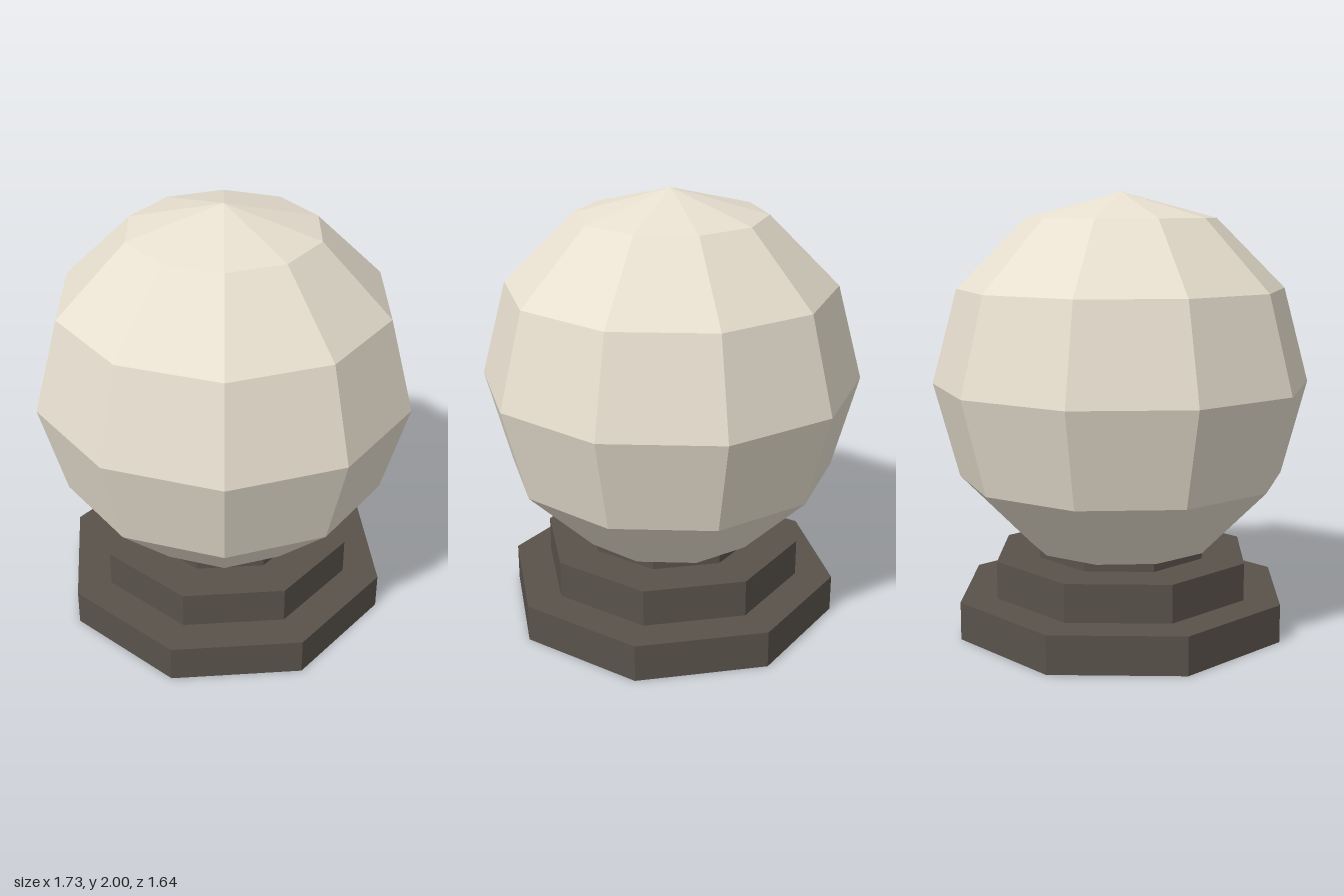
import * as THREE from 'three';

export function createModel() {
  const model = new THREE.Group();
  model.name = 'globeOnPedestal';

  const ivory = new THREE.MeshStandardMaterial({ color: 0xe8e0d0, flatShading: true });
  ivory.name = 'ivory';
  const darkStone = new THREE.MeshStandardMaterial({ color: 0x59524b, flatShading: true });
  darkStone.name = 'dark stone';

  const add = (name, geometry, material, y) => {
    const mesh = new THREE.Mesh(geometry, material);
    mesh.name = name;
    mesh.position.y = y;
    model.add(mesh);
  };

  // Stepped octagonal base: [name, radius, bottom, top]
  const tiers = [
    ['lowerStep', 0.777, 0, 0.173],
    ['upperStep', 0.605, 0.173, 0.345],
    ['collar', 0.402, 0.345, 0.43],
  ];
  for (const [name, radius, bottom, top] of tiers) {
    add(name, new THREE.CylinderGeometry(radius, radius, top - bottom, 8), darkStone, (bottom + top) / 2);
  }

  // Faceted globe resting in the collar
  const radius = 0.863;
  add('globe', new THREE.SphereGeometry(radius, 10, 6), ivory, 2 - radius);

  return model;
}
